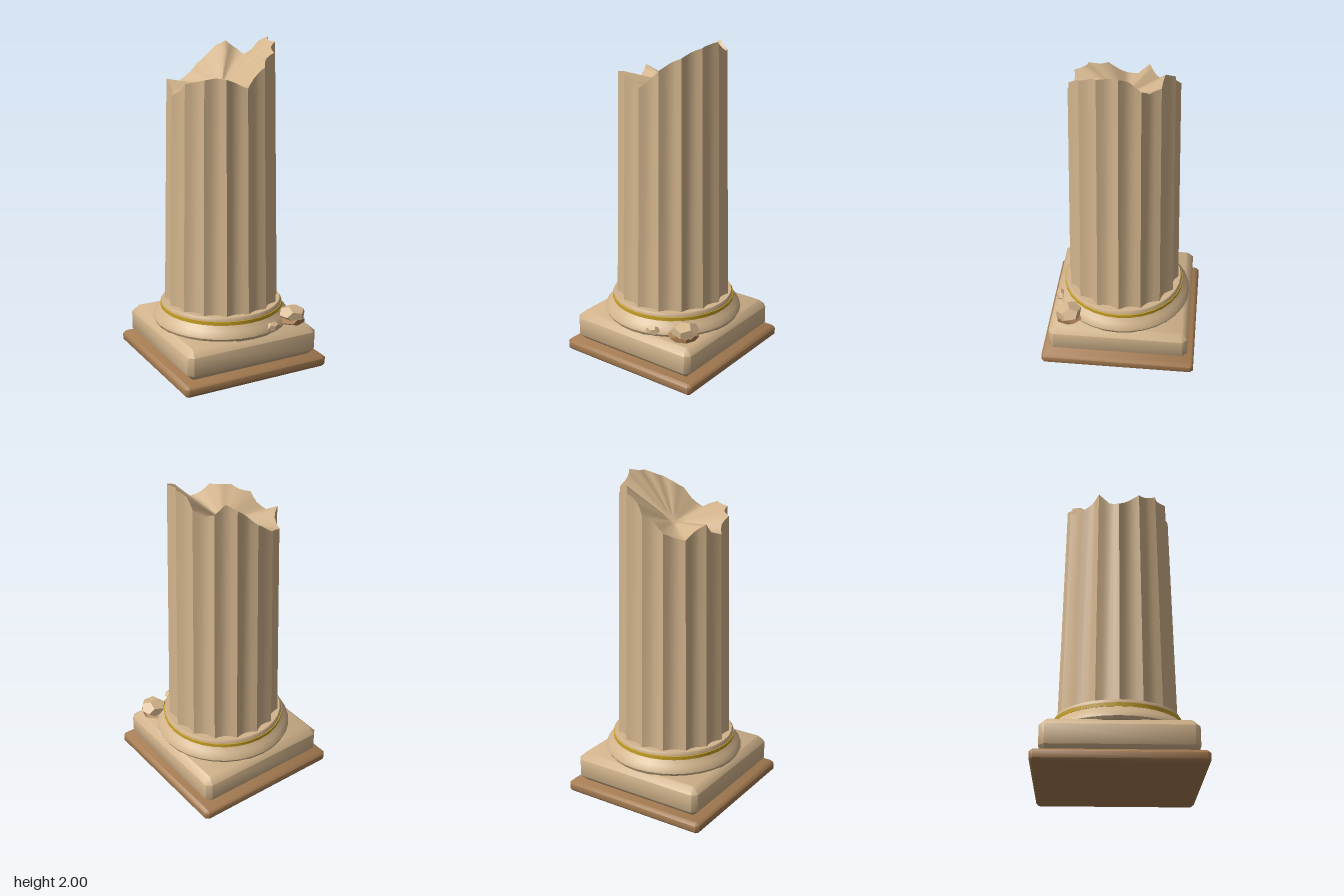
import * as THREE from 'three';
import { toCreasedNormals } from 'three/addons/utils/BufferGeometryUtils.js';

const stone = new THREE.MeshStandardMaterial({ color: 0xd2b48c });
stone.name = 'sandstone';
const brown = new THREE.MeshStandardMaterial({ color: 0xa67c52 });
brown.name = 'brownStone';
const gold = new THREE.MeshStandardMaterial({ color: 0xc9a227 });
gold.name = 'gold';

const SEG = 64, BOTTOM = 0.375, CENTRE = 1.72;

// Height of the broken rim every 11.25 degrees, from +x round by +z
const RIM = [
  2.0, 1.985, 1.98, 1.955, 1.93, 1.9, 1.86, 1.8, 1.75, 1.78, 1.805, 1.81, 1.8, 1.785, 1.77, 1.73,
  1.69, 1.71, 1.77, 1.73, 1.69, 1.7, 1.73, 1.78, 1.82, 1.88, 1.93, 1.96, 1.91, 1.88, 1.92, 1.97,
];

function rimHeight(i) {
  const k = i / 2, a = Math.floor(k);
  return THREE.MathUtils.lerp(RIM[a % 32], RIM[(a + 1) % 32], k - a);
}

// Point on the fluted, tapering surface
function shaftPoint(i, y) {
  const a = (i / SEG) * Math.PI * 2;
  const r = 0.355 - 0.035 * (y - BOTTOM) / 1.625 - 0.028 * Math.abs(Math.sin(8 * a));
  return [r * Math.cos(a), y, r * Math.sin(a)];
}

function indexed(positions, index) {
  const g = new THREE.BufferGeometry();
  g.setAttribute('position', new THREE.Float32BufferAttribute(positions, 3));
  g.setIndex(index);
  g.computeVertexNormals();
  return g;
}

function shaftGeometry() {
  const pos = [], idx = [];
  for (let i = 0; i < SEG; i++) {
    pos.push(...shaftPoint(i, BOTTOM), ...shaftPoint(i, rimHeight(i)));
    const a = i * 2, b = ((i + 1) % SEG) * 2;
    idx.push(a, a + 1, b, b, a + 1, b + 1);
  }
  return toCreasedNormals(indexed(pos, idx), 0.7);
}

// Hollow broken surface running from the rim down to the centre
function breakGeometry() {
  const pos = [0, CENTRE, 0], idx = [], rings = 4;
  for (let j = 1; j <= rings; j++) {
    const t = j / rings;
    for (let i = 0; i < SEG; i++) {
      const h = rimHeight(i), [x, , z] = shaftPoint(i, h);
      pos.push(x * t, THREE.MathUtils.lerp(CENTRE, h, t), z * t);
      const n = (i + 1) % SEG, o = 1 + (j - 1) * SEG, p = o - SEG;
      if (j === 1) idx.push(0, o + n, o + i);
      else idx.push(p + i, p + n, o + i, p + n, o + n, o + i);
    }
  }
  return indexed(pos, idx);
}

// Square slab with chamfered edges and corners
function slabGeometry(half, y0, y1, c, corner) {
  const h = half - c, k = h - corner;
  const s = new THREE.Shape([
    [h, -k], [h, k], [k, h], [-k, h], [-h, k], [-h, -k], [-k, -h], [k, -h],
  ].map(([x, y]) => new THREE.Vector2(x, y)));
  const g = new THREE.ExtrudeGeometry(s, {
    depth: y1 - y0 - 2 * c, bevelEnabled: true, bevelSegments: 1, bevelSize: c, bevelThickness: c,
  });
  g.rotateX(-Math.PI / 2).translate(0, y0 + c, 0);
  return toCreasedNormals(g, 1);
}

function lathe(points) {
  const g = new THREE.LatheGeometry(points.map(([r, y]) => new THREE.Vector2(r, y)), 32);
  return toCreasedNormals(g, 0.6);
}

export function createModel() {
  const model = new THREE.Group();
  model.name = 'brokenColumn';
  const add = (name, geometry, material) => {
    const m = new THREE.Mesh(geometry, material);
    m.name = name;
    model.add(m);
    return m;
  };

  // Square base
  add('plinth', slabGeometry(0.485, 0, 0.07, 0.016, 0.01), brown);
  add('baseBlock', slabGeometry(0.44, 0.07, 0.26, 0.038, 0.008), stone);

  // Round moulding with its gold band
  add('baseMoulding', lathe([
    [0, 0.255], [0.42, 0.255], [0.43, 0.275], [0.425, 0.292], [0.405, 0.315], [0.382, 0.345],
  ]), stone);
  add('goldBand', lathe([[0.375, 0.342], [0.384, 0.345], [0.384, 0.367], [0.372, 0.37]]), gold);
  add('collar', lathe([[0.379, 0.366], [0.379, 0.375], [0.37, 0.39], [0, 0.39]]), stone);

  // Fluted shaft
  add('shaft', shaftGeometry(), stone);
  add('brokenTop', breakGeometry(), stone);

  // Fallen fragments
  const rock = (name, p, s, turn, material) => {
    const g = toCreasedNormals(new THREE.DodecahedronGeometry(1), 0.8);
    const m = add(name, g, material);
    m.position.set(...p);
    m.scale.set(...s);
    m.rotation.y = turn;
  };
  rock('largeFragment', [0.33, 0.322, 0.32], [0.088, 0.054, 0.086], 0.3, stone);
  rock('smallFragment', [0.145, 0.296, 0.396], [0.047, 0.033, 0.031], 0.1, stone);
  rock('brokenChip', [0.32, 0.288, 0.32], [0.095, 0.03, 0.095], 0.8, brown);

  return model;
}
